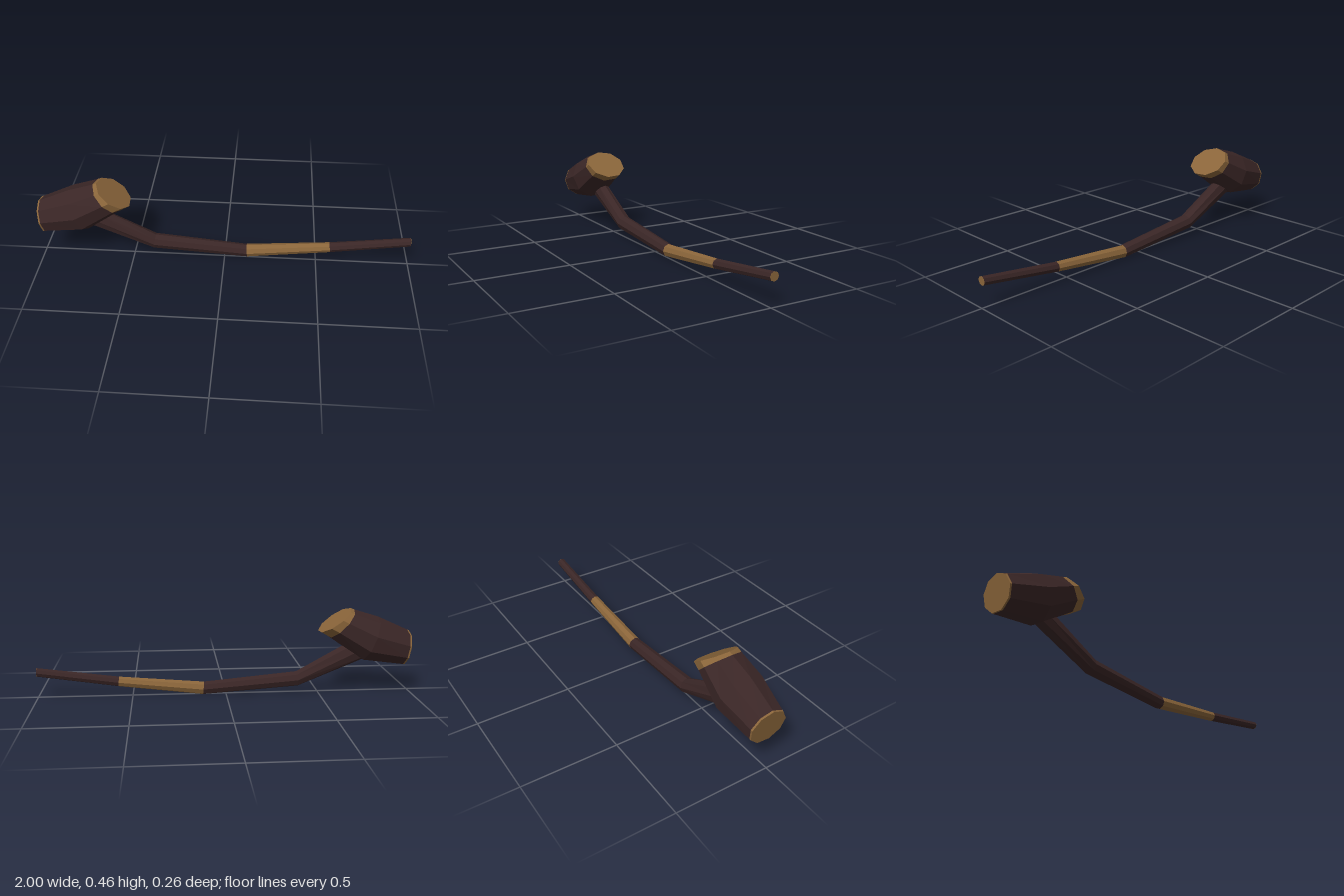
import * as THREE from 'three';

// A cross-section: centre (x, y), direction of its upper side, half-height and half-width.
function ring(x, y, ux, uy, h, w) {
  const l = Math.hypot(ux, uy);
  return { x, y, ux: (ux / l) * h, uy: (uy / l) * h, w };
}

// Cross-section given by its top and bottom points in the side profile.
function span([tx, ty], [bx, by], w) {
  const h = Math.hypot(tx - bx, ty - by) / 2;
  return ring((tx + bx) / 2, (ty + by) / 2, tx - bx, ty - by, h, w);
}

// Faceted skin through rings ordered from -x to +x, with optional flat ends.
function loft(name, rings, sides, phase, z, material, capStart, capEnd) {
  const pos = [];
  const point = (r, j) => {
    const a = phase + (j * Math.PI * 2) / sides;
    const s = Math.sin(a);
    return [r.x + r.ux * s, r.y + r.uy * s, z - r.w * Math.cos(a)];
  };
  const last = rings[rings.length - 1];
  for (let j = 0; j < sides; j++) {
    for (let i = 0; i < rings.length - 1; i++) {
      const a = point(rings[i], j), b = point(rings[i], j + 1);
      const c = point(rings[i + 1], j + 1), d = point(rings[i + 1], j);
      pos.push(...a, ...b, ...c, ...a, ...c, ...d);
    }
    if (capStart) pos.push(rings[0].x, rings[0].y, z, ...point(rings[0], j + 1), ...point(rings[0], j));
    if (capEnd) pos.push(last.x, last.y, z, ...point(last, j), ...point(last, j + 1));
  }
  const geometry = new THREE.BufferGeometry();
  geometry.setAttribute('position', new THREE.Float32BufferAttribute(pos, 3));
  geometry.computeVertexNormals();
  const mesh = new THREE.Mesh(geometry, material);
  mesh.name = name;
  return mesh;
}

export function createModel() {
  const darkWood = new THREE.MeshStandardMaterial({ color: 0x3a2626 });
  darkWood.name = 'dark wood';
  const paleWood = new THREE.MeshStandardMaterial({ color: 0x8a653a });
  paleWood.name = 'pale wood';

  const model = new THREE.Group();
  model.name = 'pipe';

  // Bowl: nine-sided, bulging in the middle, with a slanted pale rim
  const bowl = new THREE.Group();
  bowl.name = 'bowl';
  const foot = ring(-0.984, 0.236, -0.16, 0.987, 0.095, 0.1);
  const footEdge = ring(-0.975, 0.238, -0.16, 0.987, 0.096, 0.101);
  const belly = ring(-0.78, 0.29, -0.37, 0.93, 0.126, 0.13);
  const rimEdge = ring(-0.623, 0.374, -0.687, 0.727, 0.102, 0.113);
  const rim = ring(-0.587, 0.393, -0.81, 0.585, 0.107, 0.111);
  const bowlPart = (name, rings, material, capStart, capEnd) =>
    bowl.add(loft(name, rings, 9, (95 * Math.PI) / 180, 0, material, capStart, capEnd));
  bowlPart('bowlBase', [foot, footEdge], paleWood, true, false);
  bowlPart('bowlBody', [footEdge, belly, rimEdge], darkWood, false, false);
  bowlPart('bowlRim', [rimEdge, rim], paleWood, false, true);
  model.add(bowl);

  // Stem: tapering octagonal rod, bent at each joint
  const stem = new THREE.Group();
  stem.name = 'stem';
  const root = span([-0.66, 0.272], [-0.74, 0.178], 0.04);
  const elbow = span([-0.38, 0.117], [-0.39, 0.036], 0.042);
  const bandStart = span([0.12, 0.07], [0.125, 0], 0.035);
  const bandEnd = span([0.57, 0.108], [0.575, 0.055], 0.028);
  const tip = span([0.999, 0.164], [0.999, 0.117], 0.024);
  const tipEnd = span([1, 0.164], [1, 0.117], 0.024);
  const stemPart = (name, rings, material, capEnd) =>
    stem.add(loft(name, rings, 8, Math.PI / 2, -0.013, material, false, capEnd));
  stemPart('shank', [root, elbow, bandStart], darkWood, false);
  stemPart('stemBand', [bandStart, bandEnd], paleWood, false);
  stemPart('mouthpiece', [bandEnd, tip], darkWood, false);
  stemPart('mouthpieceEnd', [tip, tipEnd], paleWood, true);
  model.add(stem);

  return model;
}
